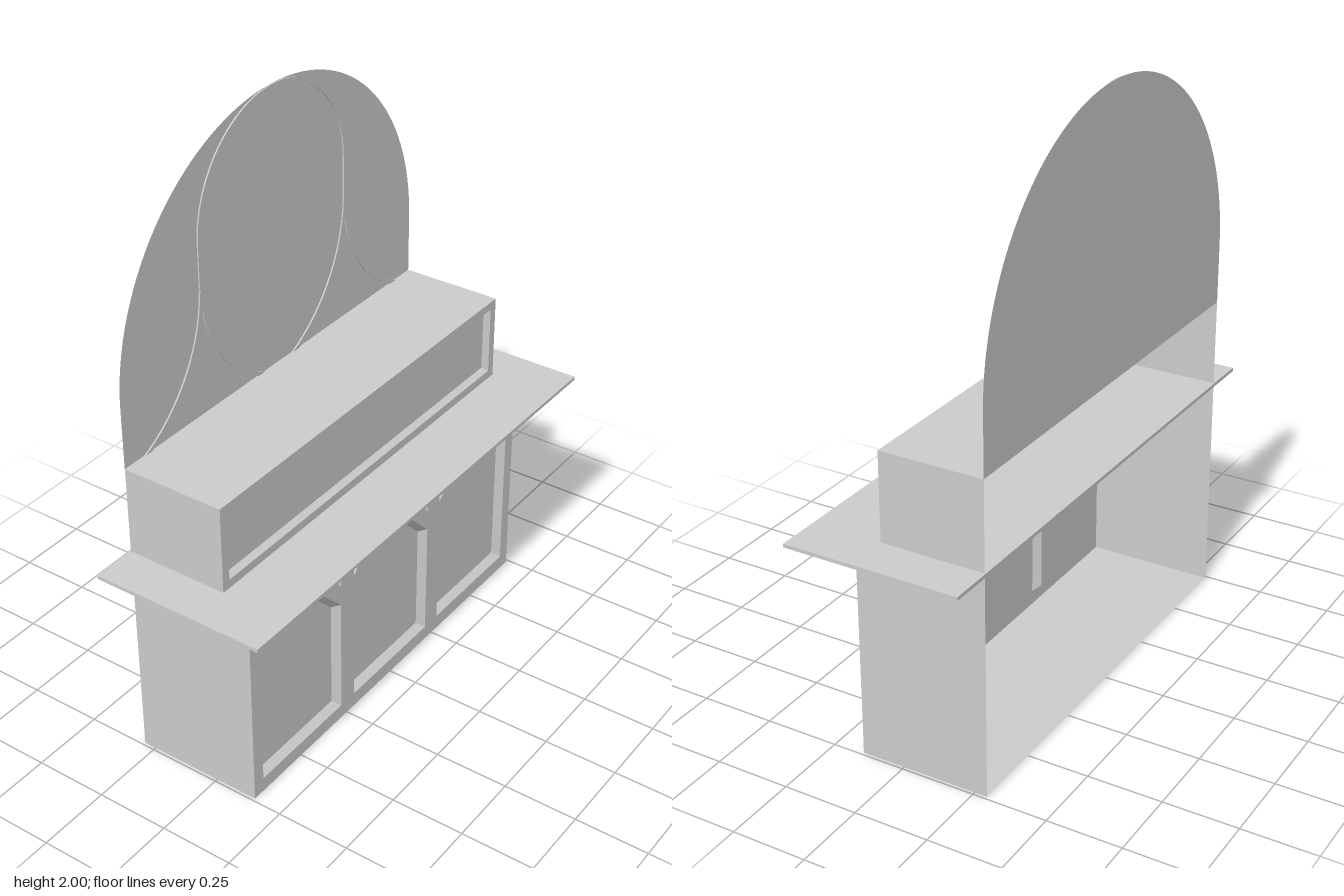
import * as THREE from 'three';

const material = new THREE.MeshStandardMaterial({ color: 0xcccccc, side: THREE.DoubleSide, flatShading: true });
const HALF = 0.74, BACK = -0.293, TOP = 1.055;
const toShape = pts => new THREE.Shape(pts.map(p => new THREE.Vector2(p[0], p[1])));
const mirror = pts => pts.map(([x, y]) => [-x, y]).reverse();
const rect = (x, y0, y1) => [[-x, y0], [x, y0], [x, y1], [-x, y1]];

function add(parent, name, geometry, x = 0, y = 0, z = 0) {
  const mesh = new THREE.Mesh(geometry, material);
  mesh.name = name;
  mesh.position.set(x, y, z);
  parent.add(mesh);
  return mesh;
}

// Moves each edge of a counter-clockwise convex outline inward by d
function inset(pts, d) {
  const n = pts.length;
  const normal = (a, b) => {
    const l = Math.hypot(b[0] - a[0], b[1] - a[1]);
    return [(a[1] - b[1]) / l, (b[0] - a[0]) / l];
  };
  return pts.map((p, i) => {
    const a = normal(pts[(i + n - 1) % n], p), b = normal(p, pts[(i + 1) % n]);
    const k = d / (1 + a[0] * b[0] + a[1] * b[1]);
    return [p[0] + (a[0] + b[0]) * k, p[1] + (a[1] + b[1]) * k];
  });
}

// Sloping sides of a sunken panel
function bevel(outer, inner, depth) {
  const pos = [];
  outer.forEach((a, i) => {
    const j = (i + 1) % outer.length;
    const b = outer[j], c = inner[j], d = inner[i];
    pos.push(...a, 0, ...b, 0, ...c, -depth, ...a, 0, ...c, -depth, ...d, -depth);
  });
  const g = new THREE.BufferGeometry();
  g.setAttribute('position', new THREE.Float32BufferAttribute(pos, 3));
  g.computeVertexNormals();
  return g;
}

// Thin-walled box, open at the back, with sunken panels in its front
function cabinet(name, y0, y1, front, panels, edge, depth) {
  const g = new THREE.Group();
  g.name = name;
  const face = toShape(rect(HALF, y0, y1));
  face.holes = panels.map(toShape);
  add(g, 'frontFrame', new THREE.ShapeGeometry(face), 0, 0, front);
  for (const p of panels) {
    const inner = inset(p, edge);
    add(g, 'panelBevel', bevel(p, inner, depth), 0, 0, front);
    add(g, 'sunkenPanel', new THREE.ShapeGeometry(toShape(inner)), 0, 0, front - depth);
  }
  for (const s of [-1, 1]) {
    const side = add(g, 'sideWall', new THREE.PlaneGeometry(front - BACK, y1 - y0), s * HALF, (y0 + y1) / 2, (front + BACK) / 2);
    side.rotation.y = s * Math.PI / 2;
  }
  return g;
}

function horizontal(parent, name, y, front) {
  const m = add(parent, name, new THREE.PlaneGeometry(2 * HALF, front - BACK), 0, y, (front + BACK) / 2);
  m.rotation.x = -Math.PI / 2;
}

function arc(cx, cy, r, a0, a1, n) {
  return Array.from({ length: n + 1 }, (_, i) => {
    const a = a0 + (a1 - a0) * i / n;
    return [cx + r * Math.cos(a), cy + r * Math.sin(a)];
  });
}

// Flat strip of constant width along a path, cut level at the bottom
function strip(path, width) {
  const side = s => path.map((p, i) => {
    const a = path[Math.max(i - 1, 0)], b = path[Math.min(i + 1, path.length - 1)];
    const l = Math.hypot(b[0] - a[0], b[1] - a[1]);
    return [p[0] - s * (b[1] - a[1]) / l * width / 2, Math.max(TOP, p[1] + s * (b[0] - a[0]) / l * width / 2)];
  });
  const shape = toShape([...side(1), ...side(-1).reverse()]);
  return new THREE.ExtrudeGeometry(shape, { depth: 0.005, bevelEnabled: false });
}

export function createModel() {
  const model = new THREE.Group();
  model.name = 'counterWithArchedBack';

  // Lower cabinet with timber-braced panels
  const doorPanel = [[-0.695, 0.05], [-0.28, 0.05], [-0.28, 0.46], [-0.52, 0.7], [-0.695, 0.7]];
  const outerTriangle = [[-0.28, 0.53], [-0.28, 0.7], [-0.45, 0.7]];
  const innerTriangle = [[-0.21, 0.53], [-0.04, 0.7], [-0.21, 0.7]];
  const middle = [[-0.21, 0.05], [0.21, 0.05], [0.21, 0.46], [0, 0.665], [-0.21, 0.46]];
  const halves = [doorPanel, outerTriangle, innerTriangle];
  const lower = cabinet('lowerCabinet', 0, 0.748, 0.148, [...halves, ...halves.map(mirror), middle], 0.02, 0.025);
  horizontal(lower, 'floor', 0, 0.148);
  model.add(lower);

  // Counter slab
  add(model, 'counterTop', new THREE.BoxGeometry(1.776, 0.012, 0.592), 0, 0.753, 0);

  // Upper box with one long panel
  const upper = cabinet('upperBox', 0.759, TOP, 0.058, [rect(0.71, 0.788, 1.027)], 0.012, 0.02);
  horizontal(upper, 'upperTop', TOP, 0.058);
  model.add(upper);

  // Arched back board
  const board = [[-HALF, TOP], [HALF, TOP], ...arc(0, 1.26, HALF, 0, Math.PI, 64)];
  add(model, 'archedBack', new THREE.ShapeGeometry(toShape(board)), 0, 0, BACK);

  // Raised tracery: central horseshoe arch and two side curves
  const x = 0.3625, r = 0.5, low = 1.13;
  const foot = arc(-x + r, 1.5, r, Math.PI + low, Math.PI, 18);
  const horseshoe = [...foot, ...arc(0, 1.63, x, Math.PI, 0, 40), ...mirror(foot)];
  add(model, 'centralArchMoulding', strip(horseshoe, 0.015), 0, 0, BACK);
  const wing = arc(-x - r, 1.5, r, -low, -0.06, 18);
  for (const p of [wing, mirror(wing)]) add(model, 'sideCurveMoulding', strip(p, 0.015), 0, 0, BACK);

  return model;
}
